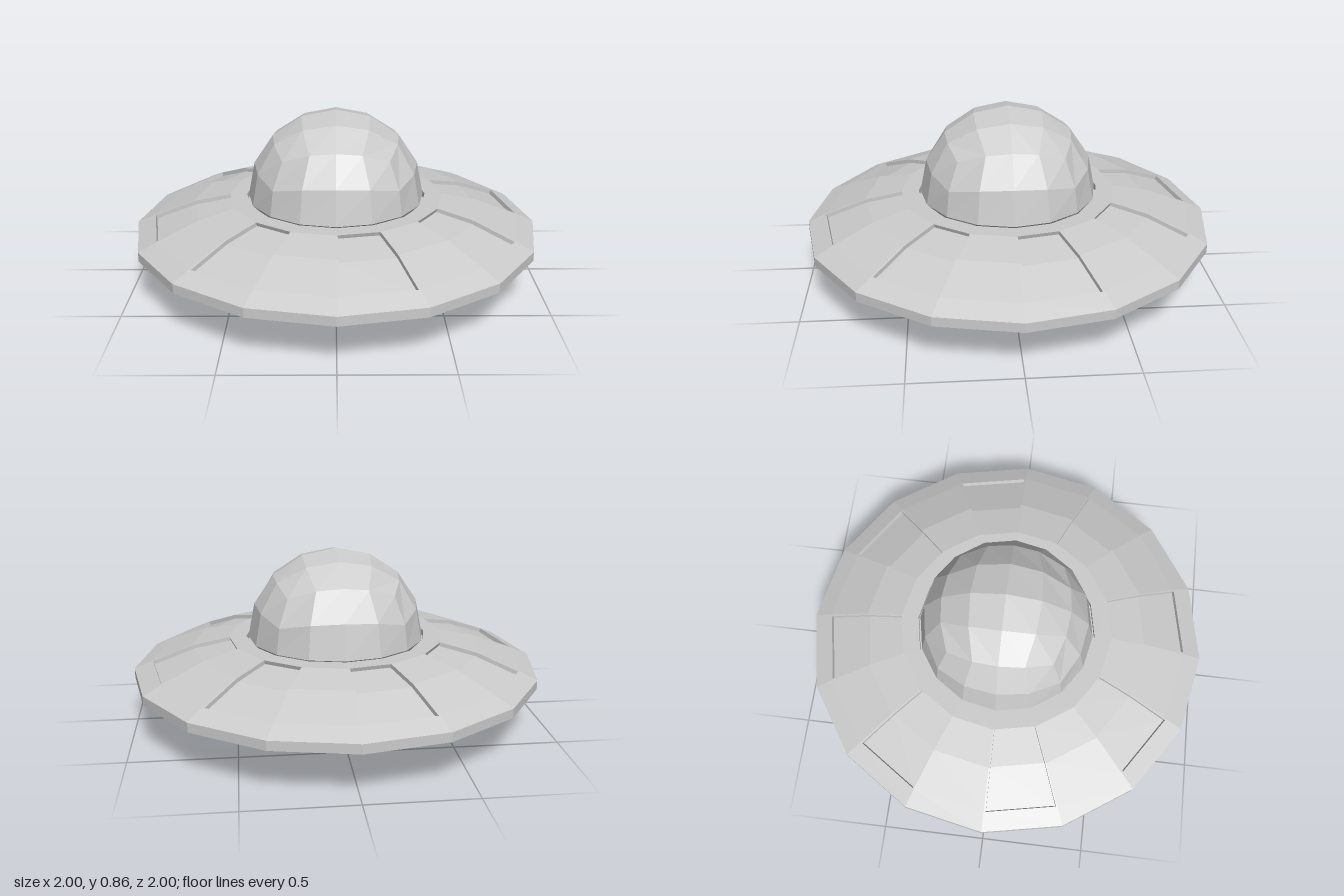
import * as THREE from 'three';

const SIDES = 16;
const DEPTH = 0.02; // how far the panels are sunk

// Hull section [radius, height], from the middle of the underside out and over the top
const PROFILE = [
  [0, 0.03], [0.51, 0.03], [0.755, 0.125], [0.87, 0.17], [1, 0.225], [1, 0.27],
  [0.91, 0.31], [0.71, 0.385], [0.53, 0.42], [0.445, 0.42], [0.445, 0.39], [0.36, 0.39],
];
// Sunken panels: profile span [from, to] and span [left, right] across a facet
const PANELS = [
  { from: 2, to: 3, left: 0.16, right: 0.84, up: -1 },
  { from: 6, to: 8, left: 0.02, right: 0.97, up: 1 },
];

const material = () => new THREE.MeshStandardMaterial({ color: 0xcccccc, flatShading: true });

function meshFromPoints(name, points) {
  const geometry = new THREE.BufferGeometry().setFromPoints(points);
  geometry.computeVertexNormals();
  const mesh = new THREE.Mesh(geometry, material());
  mesh.name = name;
  return mesh;
}

function quad(out, a, b, c, d) {
  out.push(a, b, c, a, c, d);
}

// Point on facet i, at share u across it, at profile row s; sunk by the panel's depth if given
function hullPoint(i, u, s, panel) {
  let [r, y] = PROFILE[s];
  if (panel) {
    r -= DEPTH * 0.33;
    y -= DEPTH * 0.94 * panel.up;
  }
  const a = (i / SIDES) * Math.PI * 2;
  const b = ((i + 1) / SIDES) * Math.PI * 2;
  return new THREE.Vector3(
    r * THREE.MathUtils.lerp(Math.cos(a), Math.cos(b), u), y,
    r * THREE.MathUtils.lerp(Math.sin(a), Math.sin(b), u));
}

function patch(out, i, u0, u1, s, panel) {
  quad(out, hullPoint(i, u0, s, panel), hullPoint(i, u0, s + 1, panel),
    hullPoint(i, u1, s + 1, panel), hullPoint(i, u1, s, panel));
}

function createHull() {
  const skin = [];
  const floors = [];
  for (let i = 0; i < SIDES; i++) {
    for (let s = 0; s < PROFILE.length - 1; s++) {
      const panel = i % 2 ? PANELS.find((p) => s >= p.from && s < p.to) : null;
      if (!panel) {
        patch(skin, i, 0, 1, s);
        continue;
      }
      const { left, right, from, to } = panel;
      patch(skin, i, 0, left, s);
      patch(skin, i, right, 1, s);
      patch(floors, i, left, right, s, panel);
      // Walls around the sunken floor
      const wall = (uA, sA, uB, sB) => quad(floors,
        hullPoint(i, uA, sA), hullPoint(i, uB, sB),
        hullPoint(i, uB, sB, panel), hullPoint(i, uA, sA, panel));
      wall(left, s, left, s + 1);
      wall(right, s + 1, right, s);
      if (s === from) wall(right, s, left, s);
      if (s === to - 1) wall(left, s + 1, right, s + 1);
    }
  }
  const hull = new THREE.Group();
  hull.name = 'hull';
  hull.add(meshFromPoints('hullSkin', skin), meshFromPoints('sunkenPanels', floors));
  return hull;
}

// Upper half of a cube-based sphere with equal angular steps
function createDome() {
  const geometry = new THREE.BoxGeometry(2, 2, 2, 4, 4, 4);
  const pos = geometry.attributes.position;
  const p = new THREE.Vector3();
  const spread = (v) => Math.tan((v * Math.PI) / 4);
  for (let i = 0; i < pos.count; i++) {
    p.fromBufferAttribute(pos, i);
    p.set(spread(p.x), spread(p.y), spread(p.z)).setLength(0.435);
    // Everything under the equator closes flat inside the groove
    if (p.y < -0.001) p.y = -0.03;
    pos.setXYZ(i, p.x, p.y, p.z);
  }
  geometry.computeVertexNormals();
  const dome = new THREE.Mesh(geometry, material());
  dome.name = 'dome';
  dome.position.y = 0.42;
  return dome;
}

// Thin collar under the belly
function createBaseRing() {
  const section = [[0.305, 0.035], [0.305, 0], [0.325, 0], [0.325, 0.035]];
  const geometry = new THREE.LatheGeometry(section.map(([r, y]) => new THREE.Vector2(r, y)), SIDES);
  const ring = new THREE.Mesh(geometry, material());
  ring.material.side = THREE.DoubleSide;
  ring.name = 'baseRing';
  return ring;
}

export function createModel() {
  const model = new THREE.Group();
  model.name = 'flyingSaucer';
  model.add(createHull(), createDome(), createBaseRing());
  return model;
}
